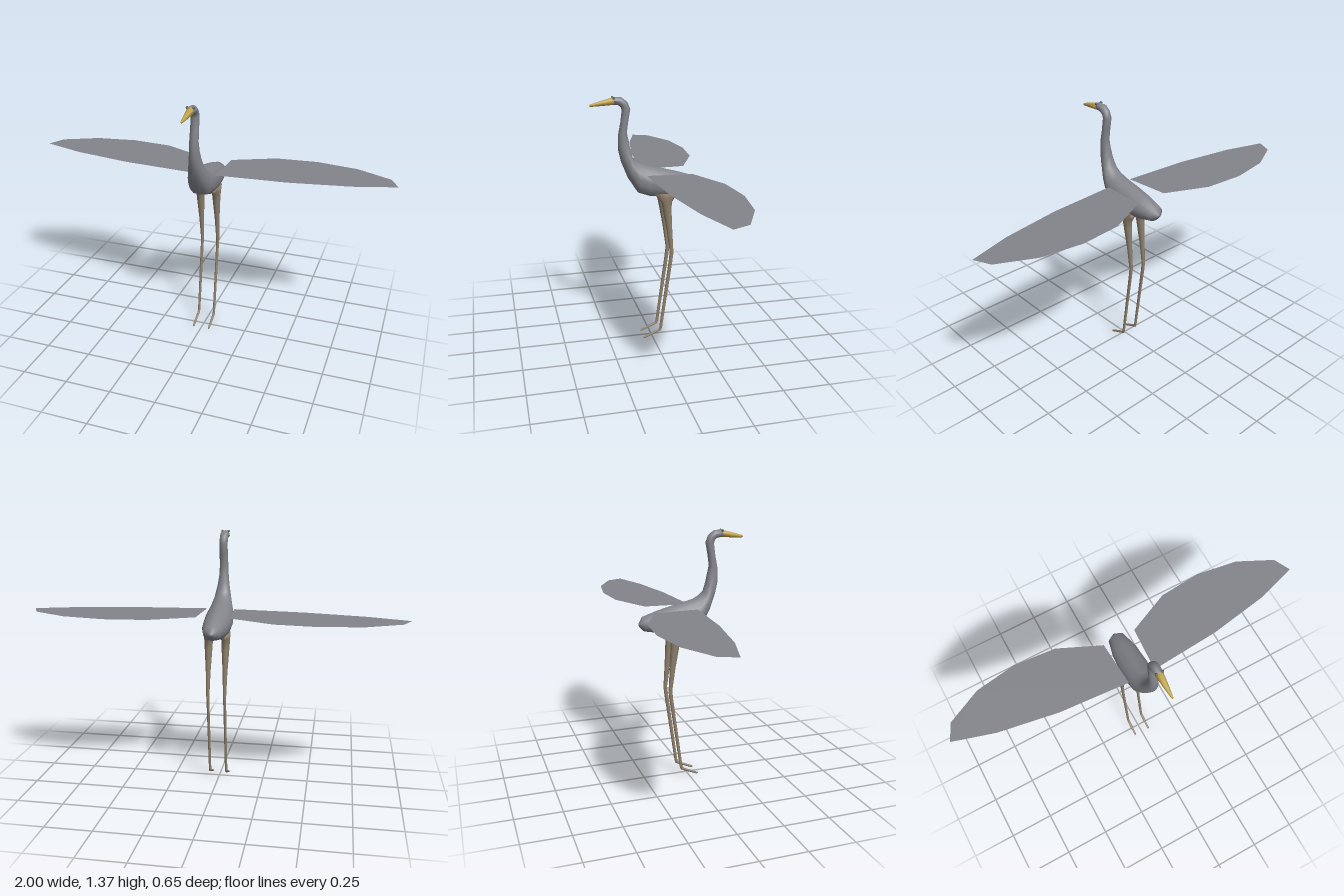
import * as THREE from 'three';

const grey = new THREE.MeshStandardMaterial({ color: 0x83848a });
grey.name = 'plumage grey';
const wingGrey = new THREE.MeshStandardMaterial({ color: 0x83848a, side: THREE.DoubleSide });
wingGrey.name = 'wing grey';
const tan = new THREE.MeshStandardMaterial({ color: 0x8f806c });
tan.name = 'leg tan';
const yellow = new THREE.MeshStandardMaterial({ color: 0xbfa24a });
yellow.name = 'beak yellow';
const dark = new THREE.MeshStandardMaterial({ color: 0x5a5b60 });
dark.name = 'eye grey';

// Smooth skin through rings [z1, y1, z2, y2, halfWidth, boxiness]:
// 1 and 2 are opposite rim points in the side profile.
function loft(rings, sides, cx = 0) {
  const pos = [], idx = [];
  for (const [z1, y1, z2, y2, w, box = 0] of rings) {
    for (let i = 0; i < sides; i++) {
      const a = (i / sides) * Math.PI * 2, c = Math.cos(a), s = Math.sin(a);
      const power = s < -0.01 ? 1 - 0.45 * box : 1 + 0.3 * box;
      const x = Math.sign(c) * Math.pow(Math.abs(c), power) * w;
      pos.push(cx + x, (y1 + y2) / 2 + (y1 - y2) / 2 * s, (z1 + z2) / 2 + (z1 - z2) / 2 * s);
    }
  }
  for (let r = 0; r < rings.length - 1; r++) {
    for (let i = 0; i < sides; i++) {
      const a = r * sides + i, b = r * sides + (i + 1) % sides;
      idx.push(a, b, b + sides, a, b + sides, a + sides);
    }
  }
  // end caps
  const last = (rings.length - 1) * sides;
  for (let i = 1; i < sides - 1; i++) {
    idx.push(0, i + 1, i, last, last + i, last + i + 1);
  }
  const g = new THREE.BufferGeometry();
  g.setAttribute('position', new THREE.Float32BufferAttribute(pos, 3));
  g.setIndex(idx);
  g.computeVertexNormals();
  return g;
}

export function createModel() {
  const model = new THREE.Group();
  const add = (name, geometry, material) => {
    const mesh = new THREE.Mesh(geometry, material);
    mesh.name = name;
    model.add(mesh);
    return mesh;
  };

  // body, neck and head in one sweep from tail to face
  add('body', loft([
    [-0.267, 0.893, -0.265, 0.88, 0.007],
    [-0.243, 0.93, -0.24, 0.852, 0.045, 0.6],
    [-0.153, 0.96, -0.15, 0.838, 0.067, 1],
    [-0.04, 0.99, -0.065, 0.832, 0.074, 1],
    [0.042, 1.01, 0.011, 0.837, 0.073, 1],
    [0.075, 1.028, 0.073, 0.857, 0.065, 0.8],
    [0.1, 1.052, 0.128, 0.943, 0.049, 0.4],
    [0.113, 1.1, 0.164, 1.034, 0.035],
    [0.121, 1.145, 0.179, 1.1, 0.027],
    [0.13, 1.185, 0.177, 1.173, 0.024],
    [0.121, 1.25, 0.164, 1.238, 0.023],
    [0.11, 1.308, 0.156, 1.303, 0.022],
    [0.124, 1.345, 0.161, 1.32, 0.023],
    [0.157, 1.371, 0.175, 1.331, 0.024],
    [0.2, 1.374, 0.2, 1.333, 0.021],
  ], 16), grey);

  // beak
  add('beak', loft([
    [0.198, 1.373, 0.198, 1.333, 0.021],
    [0.26, 1.357, 0.26, 1.329, 0.014],
    [0.317, 1.341, 0.317, 1.327, 0.006],
    [0.325, 1.336, 0.325, 1.329, 0.003],
  ], 12), yellow);

  // wing outline from the front of the root, round the trailing edge to the tip
  const outline = [
    [0.075, 0.04], [0.09, -0.205], [0.32, -0.31], [0.545, -0.33], [0.77, -0.295],
    [0.957, -0.203], [1, -0.112], [0.775, -0.043], [0.455, 0.012],
  ];

  for (const [side, label] of [[1, 'left'], [-1, 'right']]) {
    // flat spread wing
    const shape = new THREE.Shape(outline.map(([x, z]) => new THREE.Vector2(side * x, -z)));
    const wing = new THREE.ShapeGeometry(shape);
    wing.rotateX(-Math.PI / 2);
    add(label + 'Wing', wing, wingGrey).position.y = 0.965;

    // thigh, shin and toe
    add(label + 'Leg', loft([
      [-0.005, 0.855, -0.135, 0.855, 0.025],
      [-0.025, 0.828, -0.12, 0.828, 0.024],
      [-0.046, 0.805, -0.106, 0.805, 0.023],
      [-0.054, 0.77, -0.103, 0.77, 0.021],
      [-0.078, 0.64, -0.109, 0.64, 0.013],
      [-0.096, 0.515, -0.117, 0.51, 0.009],
      [-0.091, 0.47, -0.112, 0.465, 0.008],
      [-0.038, 0.065, -0.054, 0.06, 0.007],
      [-0.036, 0.053, -0.048, 0.043, 0.007],
      [-0.03, 0.049, -0.034, 0.036, 0.007],
      [0.05, 0.013, 0.046, 0.002, 0.006],
      [0.055, 0.009, 0.053, 0.003, 0.003],
    ], 10, side * 0.046), tan);

    // eye
    add(label + 'Eye', new THREE.SphereGeometry(0.007, 10, 8), dark)
      .position.set(side * 0.017, 1.369, 0.2);
  }
  return model;
}
